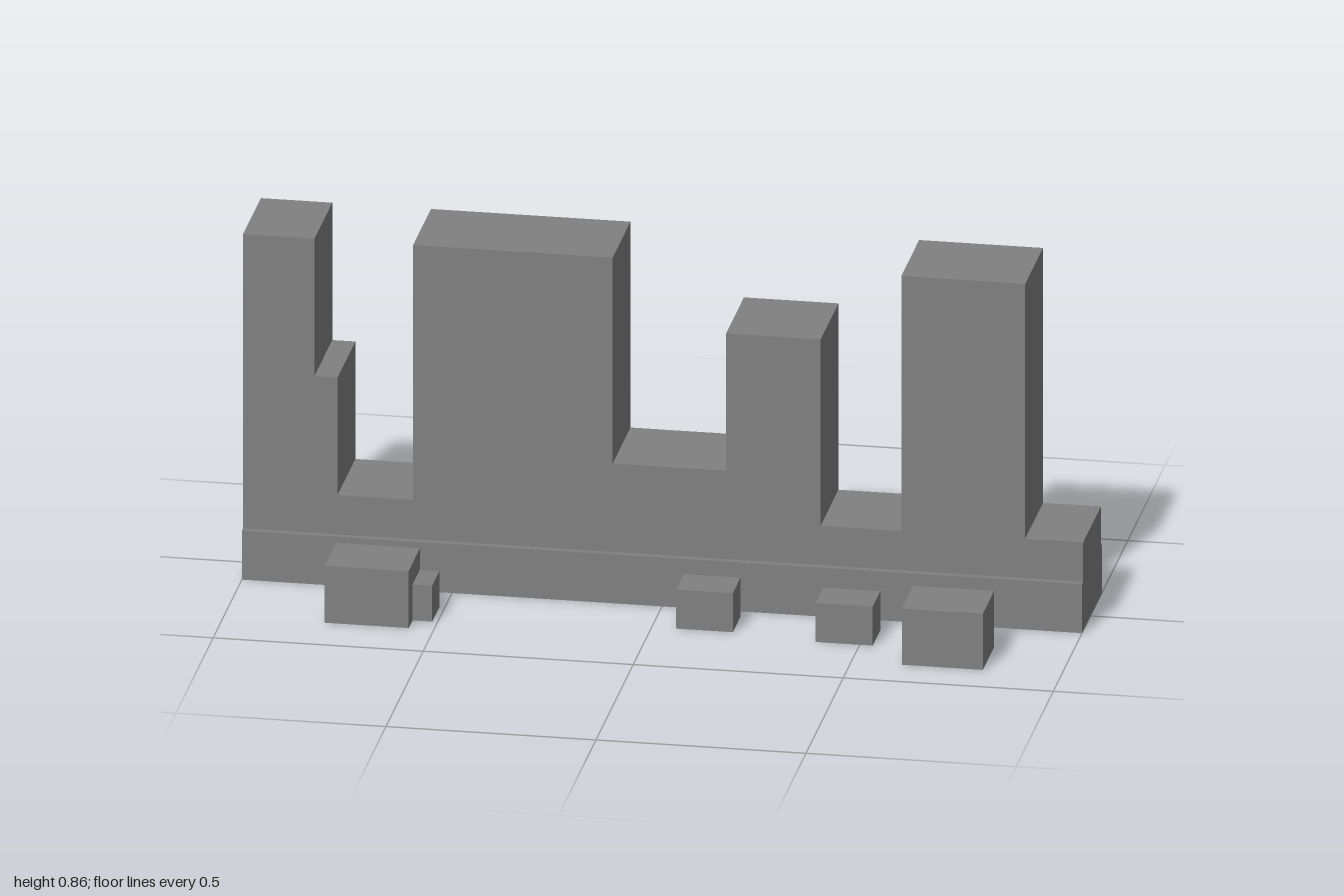
import * as THREE from 'three';

const stone = new THREE.MeshStandardMaterial({ color: 0x808080, side: THREE.DoubleSide });
stone.name = 'stone grey';

// Box standing on the ground, hollow below: the bottom face is left out
function openBox(name, x0, x1, z0, z1, h) {
  const geo = new THREE.BoxGeometry(x1 - x0, h, z1 - z0);
  const bottom = geo.groups[3];
  const index = Array.from(geo.index.array);
  index.splice(bottom.start, bottom.count);
  geo.setIndex(index);
  geo.clearGroups();
  geo.translate((x0 + x1) / 2, h / 2, (z0 + z1) / 2);
  const mesh = new THREE.Mesh(geo, stone);
  mesh.name = name;
  return mesh;
}

export function createModel() {
  const model = new THREE.Group();
  model.name = 'ruinedWall';
  const baseTop = 0.123;

  // Plinth
  model.add(openBox('plinth', -1, 1, -0.155, 0.114, baseTop));

  // Broken wall: each step is [right end x, height]
  const steps = [
    [-0.83, 0.862], [-0.775, 0.517], [-0.595, 0.222], [-0.12, 0.862], [0.15, 0.345],
    [0.375, 0.69], [0.567, 0.222], [0.862, 0.862], [1, 0.222],
  ];
  const outline = new THREE.Shape();
  outline.moveTo(-1, baseTop);
  let x = -1;
  for (const [end, height] of steps) {
    outline.lineTo(x, height);
    outline.lineTo(end, height);
    x = end;
  }
  outline.lineTo(1, baseTop);
  const wallGeo = new THREE.ExtrudeGeometry(outline, { depth: 0.239, bevelEnabled: false });
  wallGeo.translate(0, 0, -0.14);
  const wall = new THREE.Mesh(wallGeo, stone);
  wall.name = 'brokenWall';
  model.add(wall);

  // Fallen blocks: x range, z range, height
  const rubble = new THREE.Group();
  rubble.name = 'rubble';
  [
    [-0.76, -0.56, 0.205, 0.357, 0.143],
    [-0.635, -0.513, 0.21, 0.306, 0.09],
    [0.058, 0.193, 0.148, 0.251, 0.098],
    [0.395, 0.531, 0.178, 0.28, 0.098],
    [0.62, 0.813, 0.239, 0.391, 0.141],
    [-0.626, -0.491, -0.39, -0.285, 0.1],
    [0.106, 0.237, -0.37, -0.263, 0.096],
    [0.664, 0.817, -0.391, -0.27, 0.112],
  ].forEach((b, i) => rubble.add(openBox('fallenBlock' + (i + 1), ...b)));
  model.add(rubble);

  return model;
}
